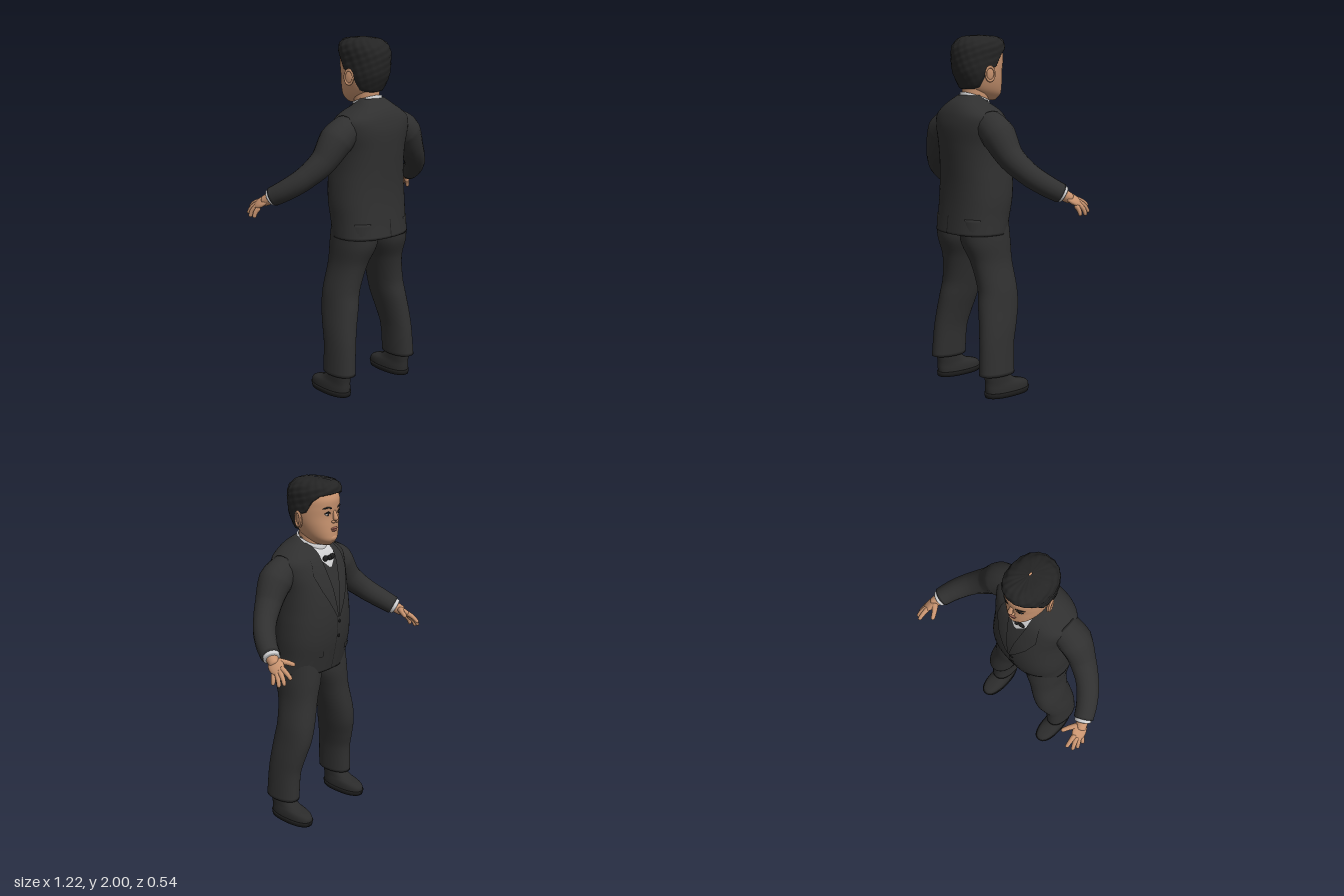
import * as THREE from 'three';
import { mergeVertices } from 'three/addons/utils/BufferGeometryUtils.js';

const mat = (name, color) => Object.assign(new THREE.MeshStandardMaterial({ color }), { name });

// Profiles, bottom to top: [height, front z, back z, half width, centre x]
const TORSO = [[0.91, -0.065, 0.27, 0.23], [1.0, -0.085, 0.26, 0.228], [1.1, -0.105, 0.252, 0.23],
  [1.2, -0.113, 0.25, 0.224], [1.3, -0.11, 0.255, 0.215], [1.4, -0.095, 0.262, 0.215], [1.5, -0.065, 0.265, 0.232],
  [1.56, -0.04, 0.255, 0.23], [1.6, -0.015, 0.24, 0.18], [1.635, 0.03, 0.215, 0.12], [1.67, 0.07, 0.165, 0.075]];
const LEG = [[0.13, -0.01, 0.21, 0.067, 0.237], [0.3, -0.015, 0.2, 0.069, 0.226], [0.4, -0.04, 0.19, 0.075, 0.212],
  [0.5, -0.065, 0.18, 0.081, 0.192], [0.6, -0.07, 0.168, 0.086, 0.173], [0.75, -0.06, 0.19, 0.092, 0.138],
  [0.87, -0.06, 0.235, 0.112, 0.115], [1.0, -0.05, 0.24, 0.108, 0.11]];
const HEAD = [[1.64, -0.06, 0.05, 0.035], [1.67, -0.086, 0.1, 0.068], [1.7, -0.089, 0.135, 0.088],
  [1.75, -0.087, 0.16, 0.105], [1.8, -0.085, 0.18, 0.114], [1.85, -0.091, 0.19, 0.116], [1.9, -0.091, 0.19, 0.112],
  [1.95, -0.06, 0.16, 0.085], [1.98, 0, 0.1, 0.03]];
const HAIR = [[1.69, -0.05, 0.15, 0.085], [1.75, -0.08, 0.182, 0.11], [1.8, -0.085, 0.202, 0.12],
  [1.88, -0.093, 0.211, 0.123], [1.93, -0.1, 0.205, 0.121], [1.965, -0.093, 0.18, 0.104],
  [1.988, -0.05, 0.135, 0.065], [1.995, 0.04, 0.06, 0.005]];
const SHOE = [[0.025, -0.115, 0.17, 0.06], [0.05, -0.112, 0.172, 0.059], [0.068, -0.09, 0.172, 0.056],
  [0.085, -0.03, 0.172, 0.052], [0.12, 0.02, 0.175, 0.05], [0.16, 0.03, 0.175, 0.048]];
const SOLE = [[0, -0.112, 0.172, 0.062], [0.028, -0.12, 0.176, 0.065]];
const NECK = [[1.56, 0.005, 0.15, 0.075], [1.64, 0, 0.148, 0.068], [1.74, -0.02, 0.15, 0.07]];

// Smooth lookup of a profile at a height
function sample(table, y) {
  const n = table.length;
  let i = 0;
  while (i < n - 2 && y > table[i + 1][0]) i++;
  const a = table[i], b = table[i + 1], h = b[0] - a[0];
  const t = THREE.MathUtils.clamp((y - a[0]) / h, 0, 1);
  const p = table[Math.max(i - 1, 0)], q = table[Math.min(i + 2, n - 1)];
  return [1, 2, 3, 4].map(k => {
    const [pv, av, bv, qv] = [p, a, b, q].map(r => r[k] ?? 0);
    const m0 = (bv - pv) / (b[0] - p[0]) * h, m1 = (qv - av) / (q[0] - a[0]) * h;
    const t2 = t * t, t3 = t2 * t;
    return (2 * t3 - 3 * t2 + 1) * av + (t3 - 2 * t2 + t) * m0 + (3 * t2 - 2 * t3) * bv + (t3 - t2) * m1;
  });
}

const bend = (v, e) => Math.sign(v) * Math.abs(v) ** e;

function ringPoint(table, y, angle, e = 1, grow = 0) {
  const [front, back, rx, cx] = sample(table, y);
  return [cx + (rx + grow) * bend(Math.cos(angle), e), y,
    (front + back) / 2 + ((back - front) / 2 + grow) * bend(Math.sin(angle), e)];
}

// Front depth of the torso at a given x and y
function chestZ(x, y) {
  const [front, back, rx] = sample(TORSO, y);
  const c = Math.min(Math.abs(x) / rx, 1) ** (1 / 0.88);
  return (front + back) / 2 - (back - front) / 2 * Math.sqrt(1 - c * c) ** 0.88;
}

// Smooth surface from a function of u and v
function grid(fn, nu, nv) {
  const pos = [], idx = [];
  for (let j = 0; j <= nv; j++) for (let i = 0; i <= nu; i++) pos.push(...fn(i / nu, j / nv));
  for (let j = 0; j < nv; j++) for (let i = 0; i < nu; i++) {
    const a = j * (nu + 1) + i, b = a + nu + 1;
    idx.push(a, b, a + 1, a + 1, b, b + 1);
  }
  const g = new THREE.BufferGeometry();
  g.setAttribute('position', new THREE.Float32BufferAttribute(pos, 3));
  g.setIndex(idx);
  const merged = mergeVertices(g, 1e-5);
  merged.computeVertexNormals();
  return merged;
}

// Closed body following a profile, capped at both ends
function loft(table, e = 1, side = 1, rows = 40) {
  const y0 = table[0][0], y1 = table[table.length - 1][0];
  const t = table.map(r => [r[0], r[1], r[2], r[3], (r[4] ?? 0) * side]);
  return grid((u, v) => {
    const k = THREE.MathUtils.clamp((v * (rows + 2) - 1) / rows, 0, 1), y = THREE.MathUtils.lerp(y0, y1, k);
    const p = ringPoint(t, y, u * Math.PI * 2, e);
    if (v > 0 && v < 1) return p;
    const [front, back, , cx] = sample(t, y);
    return [cx, y, (front + back) / 2];
  }, 48, rows + 2);
}

// Tube of changing radius with closed ends
function limb(points, radii, segs = 24, endLength = 0.02) {
  const curve = new THREE.CatmullRomCurve3(points.map(p => new THREE.Vector3(...p)));
  const tube = new THREE.TubeGeometry(curve, segs, 1, 16);
  const pos = tube.attributes.position, len = curve.getLength(), v = new THREE.Vector3();
  for (let i = 0; i < pos.count; i++) {
    const t = Math.floor(i / 17) / segs, c = curve.getPointAt(t);
    const k = t * (radii.length - 1), n = Math.min(Math.floor(k), radii.length - 2);
    const d = Math.min(1, Math.min(t, 1 - t) * len / endLength);
    const r = THREE.MathUtils.lerp(radii[n], radii[n + 1], k - n) * Math.sqrt(1 - (1 - d) ** 2);
    v.fromBufferAttribute(pos, i).sub(c).multiplyScalar(r).add(c);
    pos.setXYZ(i, v.x, v.y, v.z);
  }
  tube.deleteAttribute('uv');
  tube.deleteAttribute('normal');
  const g = mergeVertices(tube, 1e-5);
  g.computeVertexNormals();
  return g;
}

// Cloth plate lying on the chest; rows are [y, x start, x end], bottom to top
function plate(rows, side, lift) {
  return grid((u, v) => {
    const k = v * (rows.length - 1), n = Math.min(Math.floor(k), rows.length - 2);
    const [y, a, b] = rows[n].map((q, i) => THREE.MathUtils.lerp(q, rows[n + 1][i], k - n));
    const x = side > 0 ? THREE.MathUtils.lerp(a, b, u) : -THREE.MathUtils.lerp(b, a, u);
    return [x, y, chestZ(x, y) - lift];
  }, 8, (rows.length - 1) * 5);
}

export function createModel() {
  const model = new THREE.Group();
  model.name = 'boyInSuit';
  const suit = mat('charcoalSuit', 0x303030), trim = mat('blackTrim', 0x1c1c1c), leather = mat('shoeLeather', 0x2b2b2b);
  const hairMat = mat('darkHair', 0x242424), skin = mat('skin', 0xc8936f), white = mat('shirtWhite', 0xcfcfd0);
  const lipMat = mat('lips', 0xa8695a);
  const add = (name, geometry, material) => {
    const m = new THREE.Mesh(geometry, material);
    m.name = name;
    model.add(m);
    return m;
  };
  const blob = (name, material, at, size) => {
    const m = add(name, new THREE.SphereGeometry(1, 20, 14), material);
    m.position.set(...at);
    m.scale.set(...size);
    return m;
  };

  // Jacket, neck and shirt collar
  add('jacket', loft(TORSO, 0.88, 1, 60), suit);
  add('neck', loft(NECK), skin);
  const collar = grid((u, v) => {
    const a = u * Math.PI * 2, s = Math.sin(a), k = Math.min(v, 0.8) / 0.8, r = v === 1 ? 0.068 : 0.084 - k * 0.006;
    return [r * Math.cos(a), 1.61 + 0.035 * s + k * (0.05 - 0.008 * s), 0.077 + (r + 0.006) * s];
  }, 40, 5);
  add('shirtCollar', collar, white);

  // Head and hair with an uneven hairline
  add('head', loft(HEAD, 0.95, 1, 50), skin);
  const HAIRLINE = [[-1, 1.925], [-0.75, 1.915], [-0.5, 1.885], [-0.25, 1.82], [0.05, 1.81], [0.3, 1.76], [0.55, 1.71], [1, 1.695]];
  const hairline = s => {
    let i = 0;
    while (i < HAIRLINE.length - 2 && s > HAIRLINE[i + 1][0]) i++;
    return THREE.MathUtils.mapLinear(s, HAIRLINE[i][0], HAIRLINE[i + 1][0], HAIRLINE[i][1], HAIRLINE[i + 1][1]);
  };
  add('hair', grid((u, v) => {
    const a = u * Math.PI * 2, y = THREE.MathUtils.lerp(hairline(Math.sin(a)), 1.995, 1 - (1 - v) ** 1.5);
    if (v === 0) return ringPoint(HEAD, y, a, 0.95, -0.006);
    const tuft = 0.0025 * Math.sin(a * 13 + y * 60) * Math.sin(a * 5 - y * 110) * Math.min(1, (1 - v) * 4);
    const p = ringPoint(HAIR, y, a, 0.9, tuft);
    p[1] += tuft + 0.003 * v;
    return p;
  }, 96, 40), hairMat);

  // Nose, mouth and chin
  add('nose', limb([[0, 1.84, -0.08], [0, 1.81, -0.092], [0, 1.778, -0.1]], [0.007, 0.012, 0.017], 14, 0.017), skin);
  blob('upperLip', lipMat, [0, 1.736, -0.085], [0.027, 0.006, 0.012]);
  blob('lowerLip', lipMat, [0, 1.725, -0.085], [0.022, 0.007, 0.012]);
  blob('chin', skin, [0, 1.683, -0.066], [0.035, 0.024, 0.026]);

  // Bow tie, jacket opening, buttons and back vent
  blob('bowKnot', trim, [0, 1.565, -0.052], [0.012, 0.014, 0.012]);
  add('frontOpening', plate([[0.92, -0.002, 0.002], [1.25, -0.002, 0.002]], 1, 0.002), trim);
  for (const y of [1.12, 1.21]) blob('button', trim, [-0.016, y, chestZ(0.016, y) - 0.003], [0.01, 0.01, 0.004]);
  add('backVent', grid((u, v) => {
    const y = 0.912 + v * 0.1;
    return [0.003 - u * 0.006, y, sample(TORSO, y)[1] + 0.002];
  }, 1, 6), trim);

  for (const s of [1, -1]) {
    const m = p => [p[0] * s, p[1], p[2]];
    // Face sides
    const eyeZ = -0.074;
    blob('eyeWhite', white, [s * 0.043, 1.818, eyeZ], [0.017, 0.008, 0.007]);
    blob('iris', trim, [s * 0.043, 1.818, eyeZ - 0.004], [0.0085, 0.0085, 0.005]);
    add('upperLid', limb([[0.024, 1.818, -0.081], [0.043, 1.829, -0.081], [0.063, 1.819, -0.069]].map(m), [0.003, 0.004, 0.003], 12, 0.006), trim);
    add('eyebrow', limb([[0.02, 1.846, -0.087], [0.045, 1.855, -0.082], [0.072, 1.847, -0.064]].map(m), [0.004, 0.005, 0.003], 12, 0.01), hairMat);
    blob('nostril', skin, [s * 0.013, 1.774, -0.091], [0.009, 0.008, 0.011]);
    const ear = blob('ear', skin, [s * 0.119, 1.783, 0.06], [0.011, 0.044, 0.029]);
    ear.rotation.set(0.15, s * -0.35, 0);
    const rim = add('earRim', new THREE.TorusGeometry(0.028, 0.006, 8, 24), skin);
    rim.position.set(s * 0.126, 1.786, 0.064);
    rim.rotation.set(0, Math.PI / 2 - s * 0.35, 0);
    rim.scale.set(0.9, 1.35, 1);

    // Shirt, lapels, pocket and bow wing
    add('shirtPoint', plate([[1.515, 0, 0.008], [1.56, 0, 0.055], [1.63, 0, 0.075]], s, 0.003), white);
    add('lapel', plate([[1.24, 0, 0.012], [1.4, 0.024, 0.1], [1.49, 0.042, 0.135], [1.56, 0.056, 0.128], [1.645, 0.06, 0.1]], s, 0.009), suit);
    add('pocketFlap', plate([[1.015, 0.09, 0.18], [1.05, 0.09, 0.18]], s, 0.006), suit);
    const wing = blob('bowWing', trim, [s * 0.026, 1.565, -0.047], [0.022, 0.017, 0.009]);
    wing.rotation.z = s * 0.15;

    // Sleeve and shirt cuff
    add('sleeve', limb([[0.16, 1.52, 0.11], [0.25, 1.47, 0.11], [0.34, 1.352, 0.09], [0.43, 1.262, 0.035], [0.495, 1.2, -0.04], [0.535, 1.157, -0.112]].map(m),
      [0.085, 0.094, 0.075, 0.064, 0.059, 0.053], 50, 0.012), suit);
    add('shirtCuff', limb([[0.515, 1.178, -0.08], [0.54, 1.151, -0.121]].map(m), [0.046, 0.046], 16, 0.006), white);

    // Hand: flattened palm with spread fingers
    const palm = blob('palm', skin, [s * 0.556, 1.127, -0.165], [0.042, 0.056, 0.018]);
    const along = new THREE.Vector3(0.035 * s, -0.055, -0.1).normalize();
    const out = new THREE.Vector3(0.12 * s, -0.09, 0.065).normalize();
    out.addScaledVector(along, -out.dot(along)).normalize();
    palm.quaternion.setFromRotationMatrix(new THREE.Matrix4().makeBasis(out, along, out.clone().cross(along)));
    add('wrist', limb([[0.525, 1.165, -0.095], [0.555, 1.127, -0.16]].map(m), [0.036, 0.028], 14, 0.015), skin);
    const fingers = [['thumb', [0.535, 1.148, -0.15], [0.505, 1.142, -0.19], [0.482, 1.13, -0.232]],
      ['indexFinger', [0.55, 1.128, -0.19], [0.554, 1.11, -0.235], [0.556, 1.082, -0.272]],
      ['middleFinger', [0.562, 1.118, -0.19], [0.578, 1.088, -0.23], [0.587, 1.052, -0.252]],
      ['ringFinger', [0.57, 1.11, -0.18], [0.59, 1.075, -0.21], [0.598, 1.038, -0.222]],
      ['littleFinger', [0.575, 1.1, -0.165], [0.592, 1.072, -0.177], [0.601, 1.04, -0.182]]];
    for (const [name, ...path] of fingers)
      add(name, limb(path.map(m), name === 'thumb' ? [0.019, 0.014, 0.011] : [0.015, 0.0125, 0.01], 16, 0.013), skin);

    // Trouser leg and shoe
    add('trouserLeg', loft(LEG, 0.92, s, 50), suit);
    const place = t => t.map(r => [...r, 0.237]);
    add('shoe', loft(place(SHOE), 0.85, s, 24), leather);
    add('sole', loft(place(SOLE), 0.85, s, 2), trim);
  }
  return model;
}
